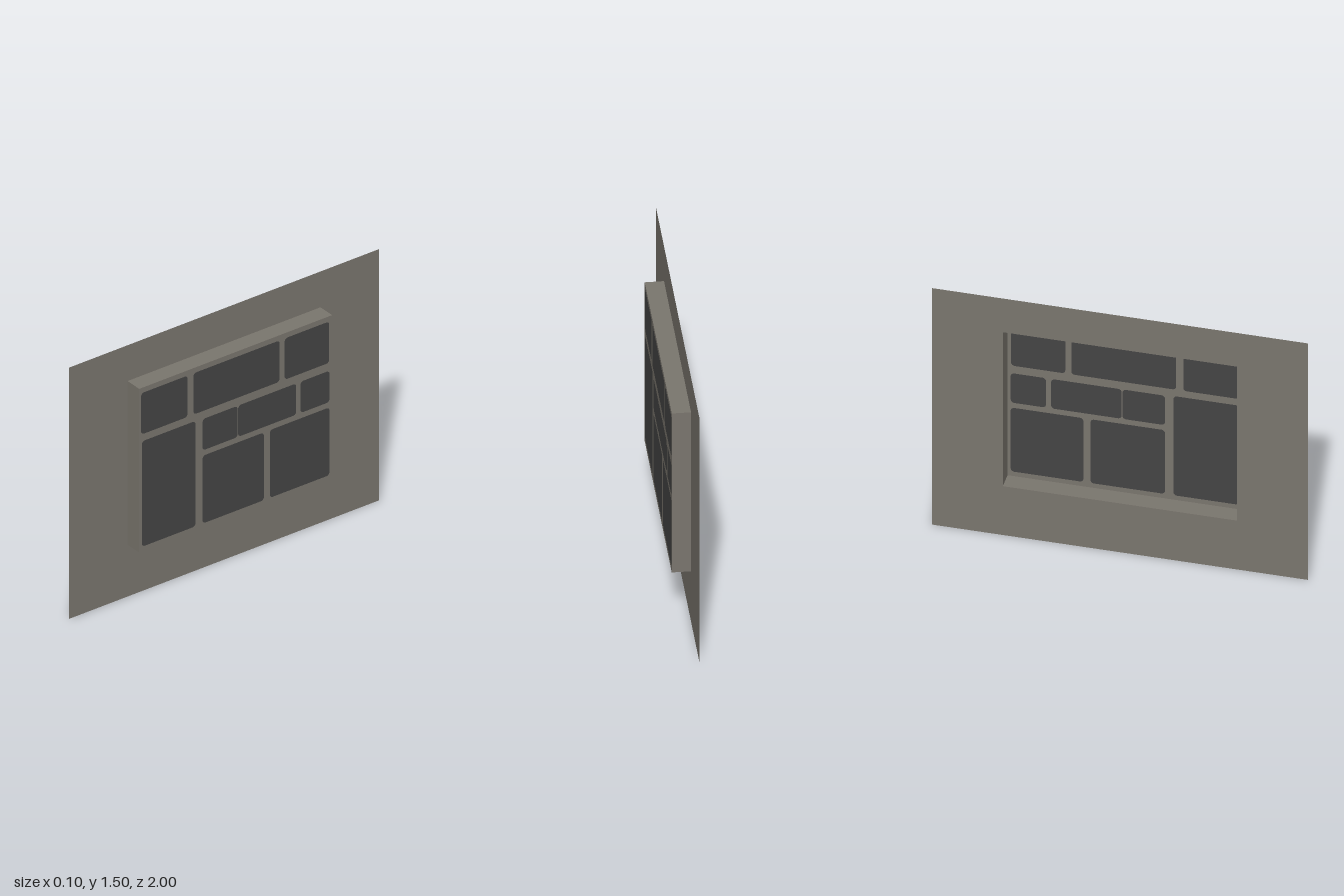
import * as THREE from 'three';

// A thin wall sheet with a raised, open-backed panel of inlaid blocks.
// Drawn in local XY facing +z, then turned to face +x.
export function createModel() {
  const stone = new THREE.MeshStandardMaterial({ color: 0x7a766e, side: THREE.DoubleSide });
  stone.name = 'warmGrey';
  const dark = new THREE.MeshStandardMaterial({ color: 0x454545, side: THREE.DoubleSide });
  dark.name = 'darkGrey';

  const model = new THREE.Group();
  model.name = 'wallPanel';
  const body = new THREE.Group();
  body.name = 'panelBody';
  body.rotation.y = Math.PI / 2;
  model.add(body);

  const halfDepth = 0.05, halfWidth = 0.623, bottom = 0.31, top = 1.288;
  const midY = (top + bottom) / 2, height = top - bottom;

  const add = (name, geometry, material, x = 0, y = 0, z = 0) => {
    const mesh = new THREE.Mesh(geometry, material);
    mesh.name = name;
    mesh.position.set(x, y, z);
    body.add(mesh);
    return mesh;
  };

  // Rectangle outline with optional rounded corners
  const outline = (x0, x1, y0, y1, r = 0) => {
    const s = new THREE.Shape();
    if (!r) {
      s.moveTo(x0, y0).lineTo(x1, y0).lineTo(x1, y1).lineTo(x0, y1).closePath();
      return s;
    }
    s.absarc(x1 - r, y0 + r, r, -Math.PI / 2, 0);
    s.absarc(x1 - r, y1 - r, r, 0, Math.PI / 2);
    s.absarc(x0 + r, y1 - r, r, Math.PI / 2, Math.PI);
    s.absarc(x0 + r, y0 + r, r, Math.PI, Math.PI * 1.5);
    s.closePath();
    return s;
  };

  // Wall sheet, open behind the raised panel
  const sheet = outline(-1, 1, 0, 1.502);
  sheet.holes.push(outline(-halfWidth, halfWidth, bottom, top));
  add('wallSheet', new THREE.ShapeGeometry(sheet), stone, 0, 0, -halfDepth);

  // Four side walls of the raised panel
  for (const s of [-1, 1]) {
    add(s > 0 ? 'panelTop' : 'panelBottom', new THREE.PlaneGeometry(2 * halfWidth, 2 * halfDepth), stone,
      0, midY + s * height / 2).rotation.x = -s * Math.PI / 2;
    add(s > 0 ? 'panelBackSide' : 'panelFrontSide', new THREE.PlaneGeometry(2 * halfDepth, height), stone,
      s * halfWidth, midY).rotation.y = s * Math.PI / 2;
  }

  // Inlaid blocks: left, right, bottom, top
  const blocks = [
    [-0.611, -0.311, 1.01, 1.257], [-0.273, 0.284, 1.01, 1.257], [0.316, 0.604, 1.01, 1.257],
    [-0.606, -0.259, 0.338, 0.968],
    [-0.214, 0.012, 0.775, 0.962], [0.016, 0.391, 0.775, 0.962], [0.418, 0.606, 0.775, 0.962],
    [-0.214, 0.182, 0.338, 0.743], [0.22, 0.606, 0.338, 0.743],
  ];
  const face = outline(-halfWidth, halfWidth, bottom, top);
  blocks.forEach((b, i) => {
    const shape = outline(...b, 0.02);
    face.holes.push(shape);
    add(`inlaidBlock${i + 1}`, new THREE.ShapeGeometry(shape), dark, 0, 0, halfDepth);
  });

  // Mortar face between the blocks
  add('panelFace', new THREE.ShapeGeometry(face), stone, 0, 0, halfDepth);
  return model;
}
